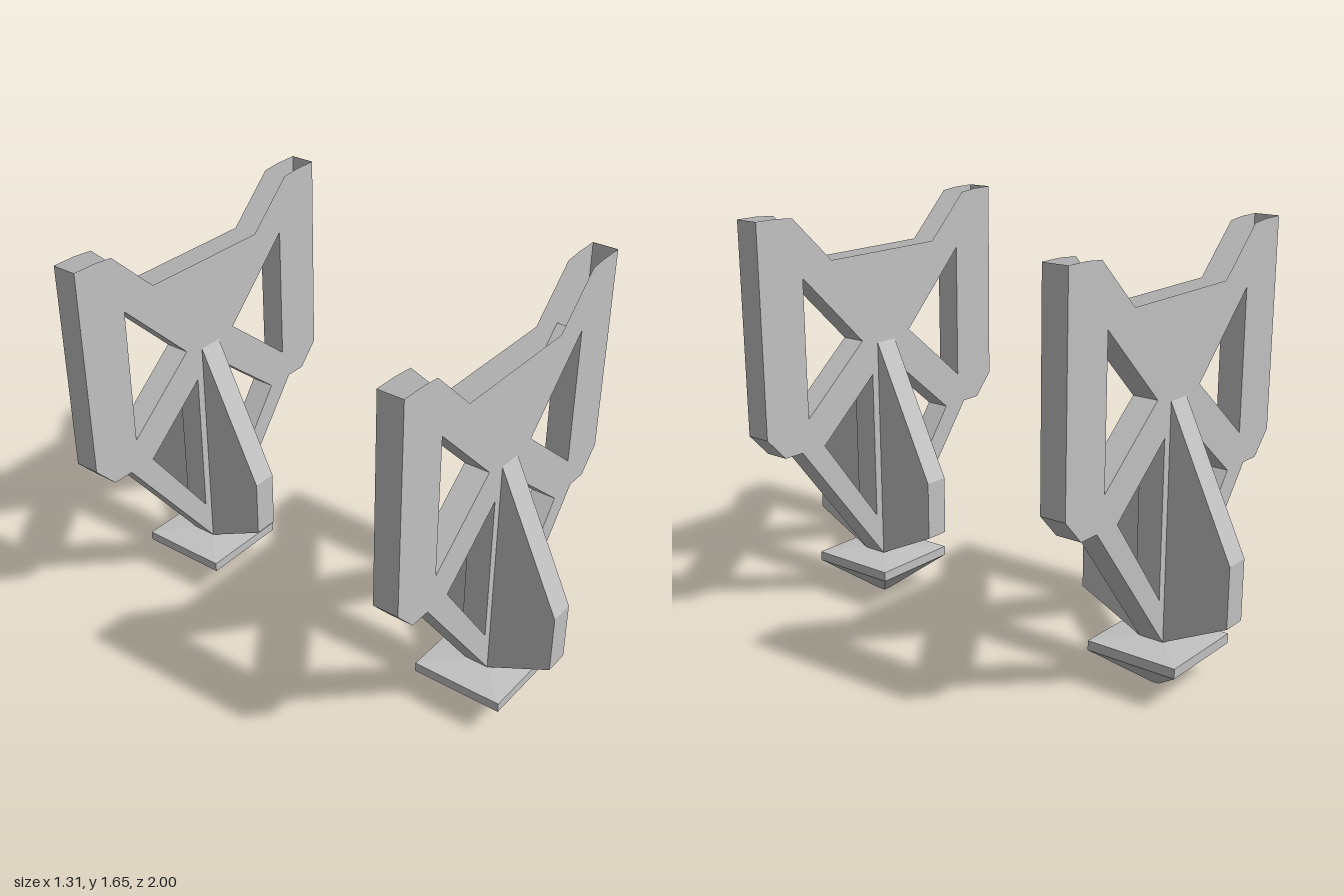
import * as THREE from 'three';

const HALF = 0.05;      // half thickness of frame and fins
const FRAME_Z = 0.692;  // distance of each stand from the middle

const vec = ([x, y]) => new THREE.Vector2(x, y);
const mirror = (pts) => pts.map(([x, y]) => [-x, y]).reverse();

// Strip of quads along a path in xy, spanning the frame thickness
function wallGeometry(pts, closed) {
  const pos = [];
  const count = closed ? pts.length : pts.length - 1;
  for (let i = 0; i < count; i++) {
    const [ax, ay] = pts[i];
    const [bx, by] = pts[(i + 1) % pts.length];
    pos.push(ax, ay, -HALF, bx, by, -HALF, bx, by, HALF);
    pos.push(ax, ay, -HALF, bx, by, HALF, ax, ay, HALF);
  }
  const geo = new THREE.BufferGeometry();
  geo.setAttribute('position', new THREE.Float32BufferAttribute(pos, 3));
  geo.computeVertexNormals();
  return geo;
}

export function createModel() {
  const grey = new THREE.MeshStandardMaterial({ color: 0xc0c0c0, flatShading: true, side: THREE.DoubleSide });
  grey.name = 'light grey';

  const add = (parent, name, geo) => {
    const mesh = new THREE.Mesh(geo, grey);
    mesh.name = name;
    parent.add(mesh);
    return mesh;
  };

  // Right-hand edge of the frame from the foot up to the horn
  const edge = [[0.05, 0.19], [0.48, 0.738], [0.568, 0.738], [0.655, 0.83], [0.655, 1.65]];
  const rim = [[0.56, 1.65], [0.48, 1.643], [0.288, 1.462]];
  const outline = [...edge, ...rim, ...mirror(rim), ...mirror(edge)];

  // Triangular cut-outs, clockwise
  const upperHole = [[0.44, 1.415], [0.44, 0.865], [0.135, 1.118]];
  const lowerHole = [[0.083, 0.97], [0.362, 0.738], [0.083, 0.367]];
  const holes = [upperHole, lowerHole, mirror(upperHole), mirror(lowerHole)];

  const frameShape = new THREE.Shape(outline.map(vec));
  holes.forEach((h) => frameShape.holes.push(new THREE.Path(h.map(vec))));

  // Fin side profile: x is distance from the frame centre
  const finShape = new THREE.Shape(
    [[HALF, 0.19], [0.308, 0.315], [0.308, 0.55], [HALF, 1.095]].map(vec));

  // Square foot: pyramid tip, rim, shallow shoulder, open collar
  const footProfile = [[0, 0], [0.016, 0], [0.185, 0.14], [0.185, 0.178], [0.05, 0.19]]
    .map(([r, y]) => new THREE.Vector2(r * Math.SQRT2, y));

  function createStand(name) {
    const stand = new THREE.Group();
    stand.name = name;

    // Hollow frame, open along its top
    const frame = new THREE.Group();
    frame.name = 'frame';
    stand.add(frame);
    add(frame, 'frontPlate', new THREE.ShapeGeometry(frameShape)).position.z = HALF;
    const back = add(frame, 'backPlate', new THREE.ShapeGeometry(frameShape));
    back.rotation.y = Math.PI;
    back.position.z = -HALF;
    add(frame, 'leftOuterWall', wallGeometry(edge, false));
    add(frame, 'rightOuterWall', wallGeometry(mirror(edge), false));
    holes.forEach((h) => add(frame, 'cutoutWall', wallGeometry(h, true)));

    // Fins in front of and behind the frame
    for (const side of [1, -1]) {
      const geo = new THREE.ExtrudeGeometry(finShape, { depth: 2 * HALF, bevelEnabled: false });
      geo.translate(0, 0, -HALF);
      geo.rotateY(-side * Math.PI / 2);
      add(stand, side > 0 ? 'frontFin' : 'backFin', geo);
    }

    const foot = new THREE.LatheGeometry(footProfile, 4);
    foot.rotateY(Math.PI / 4);
    add(stand, 'foot', foot);
    return stand;
  }

  const model = new THREE.Group();
  model.name = 'supportStands';
  for (const side of [1, -1]) {
    const stand = createStand(side > 0 ? 'frontStand' : 'backStand');
    stand.position.z = side * FRAME_Z;
    model.add(stand);
  }
  return model;
}
